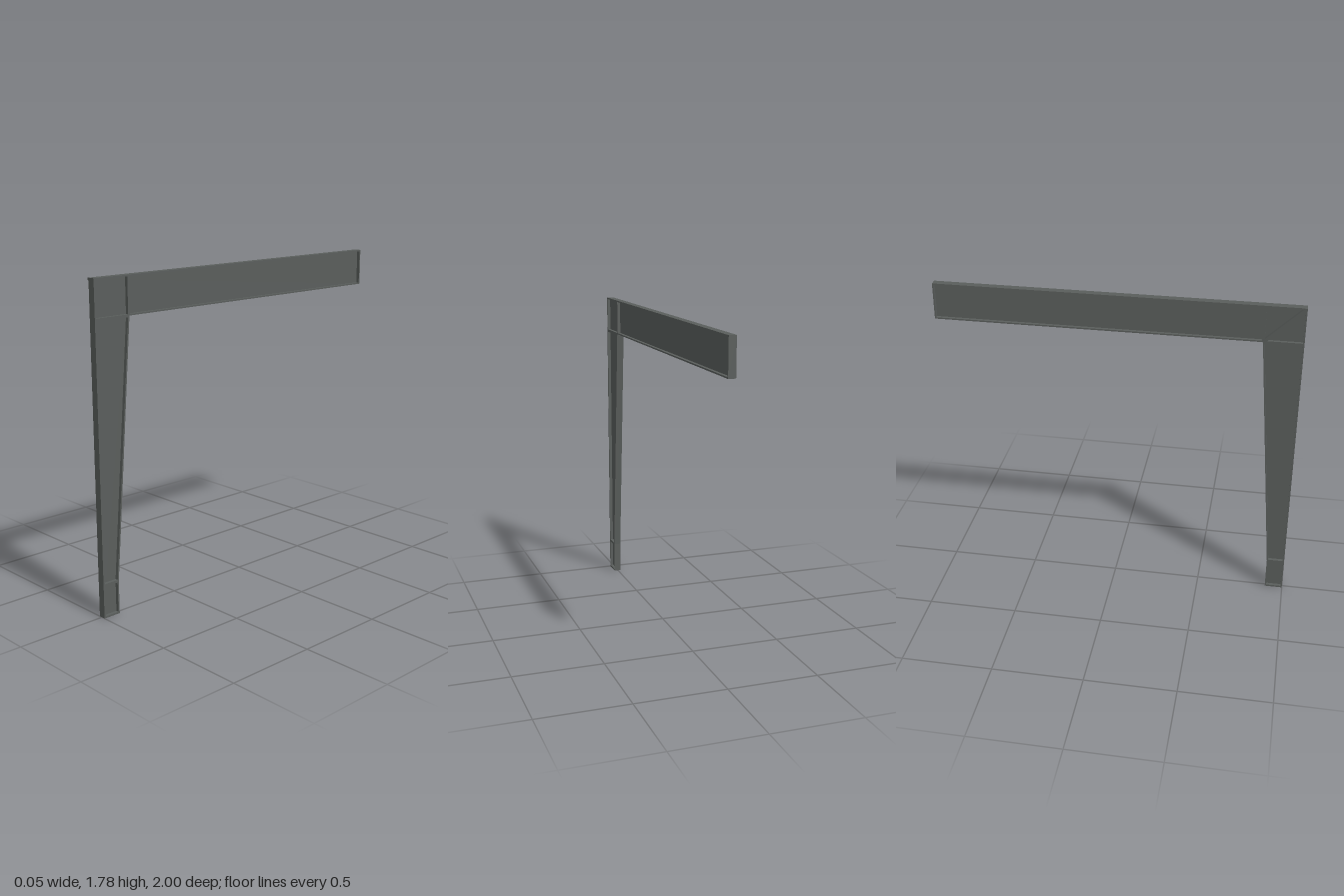
import * as THREE from 'three';

const steel = new THREE.MeshStandardMaterial({ color: 0x5a5e5c });
const X0 = -0.0175, X1 = 0.0235; // flange edges across the frame
const T = 0.008; // flange thickness
const W0 = 0.0005, W1 = 0.0055; // web faces

// Flat plate with an outline in (z, y), spanning x0 to x1
function plate(name, points, x0 = X0, x1 = X1) {
  const shape = new THREE.Shape(points.map(([z, y]) => new THREE.Vector2(z, y)));
  const geo = new THREE.ExtrudeGeometry(shape, { depth: x1 - x0, bevelEnabled: false });
  geo.rotateY(-Math.PI / 2).translate(x1, 0, 0);
  const mesh = new THREE.Mesh(geo, steel);
  mesh.name = name;
  return mesh;
}

const rect = (z0, z1, y0, y1) => [[z0, y0], [z1, y0], [z1, y1], [z0, y1]];

export function createModel() {
  const model = new THREE.Group();
  model.name = 'portalFrame';
  const top = 1.78, under = 1.575, knee = 0.785, foot = 0.9, taper = 0.183;

  // Tapered column: web, flanges, base plate and stiffener at the taper start
  const column = new THREE.Group();
  column.name = 'column';
  column.add(
    plate('columnWeb', [[foot, 0], [1 - T, 0], [1 - T, under], [knee + T, under], [foot + T, taper], [foot + T, 0]], W0, W1),
    plate('columnOuterFlange', rect(1 - T, 1, 0, top)),
    plate('columnInnerFlange', [[foot, 0], [foot + T, 0], [foot + T, taper], [knee + T, under], [knee, under], [foot, taper]]),
    plate('basePlate', rect(foot, 1, 0, 0.01)),
    plate('footStiffener', rect(foot + 0.002, 1 - T, taper - 0.007, taper + 0.007))
  );

  // Beam: web, flanges and end plate
  const beam = new THREE.Group();
  beam.name = 'beam';
  beam.add(
    plate('beamWeb', rect(-1 + T, 1 - T, under, top - T), W0, W1),
    plate('beamTopFlange', rect(-1, 1, top - T, top)),
    plate('beamBottomFlange', rect(-1, knee, under, under + T)),
    plate('beamEndPlate', rect(-1, -1 + T, under, top))
  );

  // Knee joint: two stiffeners through the web and a diagonal on one side
  const joint = new THREE.Group();
  joint.name = 'kneeJoint';
  const d = 0.006;
  joint.add(
    plate('kneeHorizontalStiffener', rect(knee, 1 - T, 1.567, 1.582)),
    plate('kneeVerticalStiffener', rect(0.779, 0.793, under, top - T)),
    plate('kneeDiagonalStiffener',
      [[knee - d, under + d], [knee + d, under - d], [1, top - 2 * d], [1, top], [1 - 2 * d, top]], -X1, W0)
  );

  model.add(column, beam, joint);
  return model;
}
